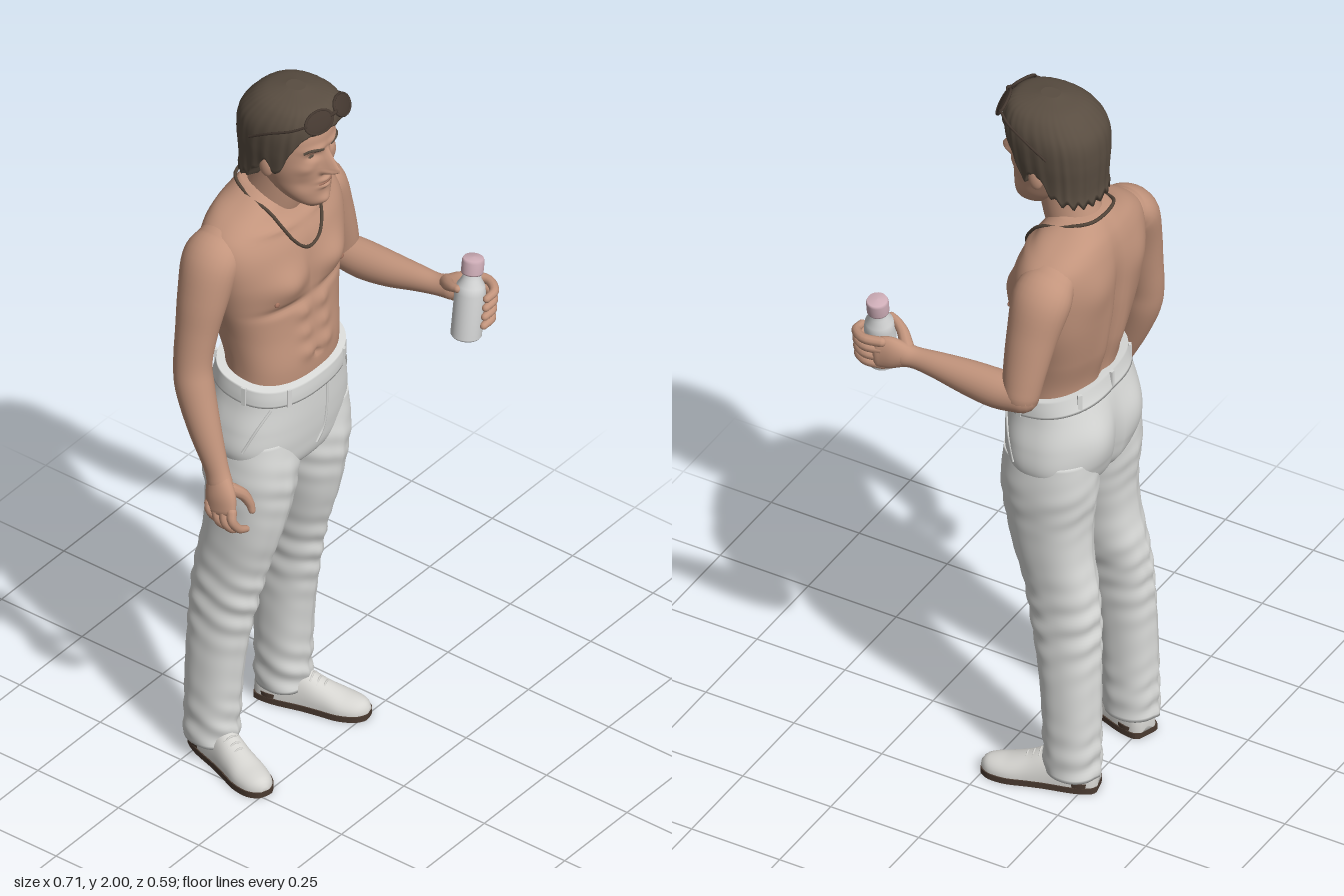
import * as THREE from 'three';

const mat = (name, color, side = THREE.FrontSide) => {
  const m = new THREE.MeshStandardMaterial({ color, side });
  m.name = name;
  return m;
};
const V = (x, y, z) => new THREE.Vector3(x, y, z);
const clamp = (v) => Math.min(1, Math.max(0, v));
const bump = (dx, sx, dy, sy) => Math.exp(-((dx / sx) ** 2) - (dy / sy) ** 2);
const spow = (v, e) => Math.sign(v) * Math.abs(v) ** e;

// Smooth lookup in a table whose first column is the key
function at(rows, k) {
  let i = 0;
  while (i < rows.length - 2 && k > rows[i + 1][0]) i++;
  const a = rows[i], b = rows[i + 1], p = rows[i - 1] || a, q = rows[i + 2] || b;
  const h = b[0] - a[0], u = (k - a[0]) / h, u2 = u * u, u3 = u2 * u;
  return a.map((v, c) => {
    const m0 = (b[c] - p[c]) / (b[0] - p[0]), m1 = (q[c] - a[c]) / (q[0] - a[0]);
    return (2 * u3 - 3 * u2 + 1) * v + (u3 - 2 * u2 + u) * h * m0 + (3 * u2 - 2 * u3) * b[c] + (u3 - u2) * h * m1;
  });
}

// Closed surface through rings of points
function skinRings(rings) {
  const n = rings[0].length, pts = rings.flat(), idx = [];
  for (let i = 0; i < rings.length - 1; i++)
    for (let j = 0; j < n; j++) {
      const a = i * n + j, b = i * n + ((j + 1) % n);
      idx.push(a, b, a + n, b, b + n, a + n);
    }
  [0, rings.length - 1].forEach((r) => {
    const c = pts.length;
    pts.push(rings[r].reduce((s, p) => s.add(p), V(0, 0, 0)).divideScalar(n));
    for (let j = 0; j < n; j++) {
      const a = r * n + j, b = r * n + ((j + 1) % n);
      if (r) idx.push(a, b, c); else idx.push(b, a, c);
    }
  });
  const g = new THREE.BufferGeometry().setFromPoints(pts);
  g.setIndex(idx);
  g.computeVertexNormals();
  return g;
}

// Horizontal sections: [y, centre x, half width, front z, back z]
function ringPoint(rows, y, t, pow, shape) {
  const [, cx, rx, zf, zb] = at(rows, y), e = 2 / pow;
  const v = V(cx + rx * spow(Math.sin(t), e), y, (zf + zb) / 2 + ((zf - zb) / 2) * spow(Math.cos(t), e));
  if (shape) shape(v, t);
  return v;
}
const angles = (n) => Array.from({ length: n }, (_, j) => (j <= n / 2 ? j : j - n) * (2 * Math.PI / n));
function stack(rows, n, m, pow, shape) {
  const y0 = rows[0][0], y1 = rows[rows.length - 1][0];
  return skinRings(Array.from({ length: m + 1 }, (_, i) =>
    angles(n).map((t) => ringPoint(rows, y0 + ((y1 - y0) * i) / m, t, pow, shape))));
}
function frontPoint(rows, x, y, pow, shape, lift = 0) {
  const [, cx, rx, zf, zb] = at(rows, y), u = Math.min(1, Math.abs(x - cx) / rx);
  const v = V(x, y, (zf + zb) / 2 + ((zf - zb) / 2) * (1 - u ** pow) ** (1 / pow));
  shape(v, 0);
  v.z += lift;
  return v;
}

// Round-ended limb through [x, y, z, radius a, radius b]
function limb(points, ref = V(1, 0, 0), n = 20, steps = 5) {
  const rows = points.map((p, i) => [i, p[0], p[1], p[2], p[3], p[4] ?? p[3]]), last = rows.length - 1, rings = [];
  const ring = (k, off, scale) => {
    const r = at(rows, k), A = at(rows, Math.max(0, k - 0.05)), B = at(rows, Math.min(last, k + 0.05));
    const T = V(B[1] - A[1], B[2] - A[2], B[3] - A[3]).normalize();
    const N = ref.clone().addScaledVector(T, -ref.dot(T)).normalize(), S = T.clone().cross(N);
    rings.push(angles(n).map((t) => V(r[1], r[2], r[3]).addScaledVector(T, off * r[4])
      .addScaledVector(N, Math.cos(t) * r[4] * scale).addScaledVector(S, Math.sin(t) * r[5] * scale)));
  };
  for (let j = 0; j < 4; j++) ring(0, -Math.cos(0.15 + j * 0.36), Math.sin(0.15 + j * 0.36));
  for (let i = 0; i <= last * steps; i++) ring(i / steps, 0, 1);
  for (let j = 3; j >= 0; j--) ring(last, Math.cos(0.15 + j * 0.36), Math.sin(0.15 + j * 0.36));
  return skinRings(rings);
}
const wire = (pts, r, closed = false) =>
  new THREE.TubeGeometry(new THREE.CatmullRomCurve3(pts, closed), pts.length * 8, r, 6, closed);

// Section tables
const TORSO = [[1.08, -0.005, 0.165, -0.025, -0.235], [1.2, -0.003, 0.167, -0.016, -0.235], [1.3, 0, 0.182, -0.028, -0.26],
  [1.4, 0, 0.207, -0.035, -0.278], [1.48, 0, 0.222, -0.034, -0.283], [1.55, 0, 0.226, -0.045, -0.284],
  [1.6, 0, 0.21, -0.066, -0.278], [1.635, 0, 0.165, -0.088, -0.268], [1.66, 0, 0.11, -0.1, -0.255], [1.69, 0, 0.065, -0.12, -0.235]];
const HEAD = [[1.672, 0, 0.028, -0.008, -0.06], [1.69, 0, 0.05, 0.003, -0.1], [1.72, 0, 0.07, 0.006, -0.14], [1.76, 0, 0.083, 0.007, -0.18],
  [1.8, 0, 0.093, 0.008, -0.2], [1.85, 0, 0.097, 0.01, -0.21], [1.9, 0, 0.094, 0.008, -0.21], [1.95, 0, 0.075, -0.015, -0.18], [1.975, 0, 0.04, -0.06, -0.14]];
const HAIR = [[1.72, 0, 0.108, -0.01, -0.236], [1.76, 0, 0.106, 0, -0.23], [1.8, 0, 0.108, 0.01, -0.232], [1.86, 0, 0.115, 0.022, -0.235],
  [1.92, 0, 0.115, 0.03, -0.228], [1.96, 0, 0.1, 0.026, -0.2], [1.985, 0, 0.072, 0.004, -0.165], [2, 0, 0.02, -0.06, -0.11]];
const HAIRLINE = [[0, 1.925], [0.7, 1.915], [1, 1.86], [1.25, 1.79], [1.5, 1.825], [1.8, 1.765], [2.2, 1.742], [3.15, 1.735]];
const PELVIS = [[0.87, -0.008, 0.08, -0.06, -0.2], [0.91, -0.01, 0.17, -0.025, -0.25], [0.97, -0.01, 0.207, -0.012, -0.268],
  [1.04, -0.008, 0.205, -0.006, -0.27], [1.11, -0.008, 0.19, -0.004, -0.262], [1.175, -0.008, 0.182, -0.004, -0.246]];
const BAND = [[1.128, -0.008, 0.189, 0.0, -0.26], [1.15, -0.008, 0.188, 0.001, -0.255], [1.178, -0.008, 0.185, 0, -0.25]];
const RIGHT_LEG = [[0.05, -0.17, 0.064, -0.148, -0.286], [0.3, -0.164, 0.064, -0.13, -0.284], [0.5, -0.149, 0.068, -0.096, -0.28], [0.6, -0.136, 0.076, -0.075, -0.27],
  [0.7, -0.129, 0.084, -0.046, -0.252], [0.8, -0.118, 0.097, -0.026, -0.25], [0.9, -0.113, 0.106, -0.016, -0.262], [1, -0.11, 0.1, -0.025, -0.26]];
const LEFT_LEG = [[0.05, 0.118, 0.068, -0.148, -0.286], [0.3, 0.112, 0.068, -0.13, -0.284], [0.5, 0.105, 0.066, -0.096, -0.28], [0.6, 0.101, 0.071, -0.075, -0.27],
  [0.7, 0.098, 0.082, -0.046, -0.252], [0.8, 0.095, 0.094, -0.026, -0.25], [0.9, 0.096, 0.103, -0.016, -0.262], [1, 0.097, 0.098, -0.025, -0.26]];
const SHOE = [[-0.148, 0.022, 0.05], [-0.135, 0.036, 0.075], [-0.09, 0.044, 0.088], [-0.02, 0.043, 0.085], [0.03, 0.045, 0.062],
  [0.08, 0.048, 0.044], [0.12, 0.04, 0.036], [0.14, 0.027, 0.029], [0.15, 0.012, 0.016]];

// Muscle relief
function muscles(v) {
  const x = Math.abs(v.x), y = v.y, f = clamp((v.z + 0.17) / 0.06), b = clamp((-0.17 - v.z) / 0.05);
  let d = 0.024 * bump(x - 0.09, 0.06, y - 1.455, 0.05) - 0.01 * bump(x - 0.09, 0.07, y - 1.385, 0.014);
  d += 0.006 * bump(y - 1.598 - 0.12 * x, 0.01, x - 0.09, 0.07) - 0.008 * bump(x, 0.012, y - 1.47, 0.06);
  for (const r of [1.35, 1.29, 1.235]) d += 0.009 * bump(x - 0.036, 0.024, y - r, 0.022);
  d -= 0.01 * bump(v.x, 0.008, y - 1.214, 0.009);
  const back = 0.018 * bump(x, 0.02, y - 1.38, 0.19) - 0.012 * bump(x - 0.1, 0.06, y - 1.51, 0.07) - 0.006 * bump(x - 0.045, 0.025, y - 1.28, 0.1);
  v.z += d * f + back * b;
}
function face(v) {
  const x = Math.abs(v.x), y = v.y, up = clamp((1.855 - y) / 0.055), fall = clamp((y - 1.771) / 0.02);
  let d = 0.043 * up * fall * fall * (3 - 2 * fall) * Math.exp(-((x / (0.008 + 0.006 * up)) ** 2));
  d += 0.012 * bump(x - 0.014, 0.007, y - 1.787, 0.008) - 0.012 * bump(x - 0.036, 0.018, y - 1.84, 0.012);
  d += 0.007 * bump(x - 0.033, 0.03, y - 1.862, 0.01) + 0.008 * bump(x, 0.022, y - 1.756, 0.007) + 0.009 * bump(x, 0.02, y - 1.738, 0.007);
  d += 0.009 * bump(x, 0.022, y - 1.692, 0.015) + 0.006 * bump(x - 0.062, 0.02, y - 1.805, 0.016) - 0.005 * bump(x - 0.058, 0.02, y - 1.755, 0.02);
  v.z += d * clamp((v.z + 0.07) / 0.05);
}
// Trouser tailoring: waist tilt, seat and pressed creases
function seat(v) {
  const x = Math.abs(v.x + 0.008);
  if (v.z < -0.15) v.z += -0.02 * bump(x - 0.09, 0.07, v.y - 1.03, 0.07) + 0.012 * bump(x, 0.016, v.y - 0.97, 0.1);
  v.y += (-0.1 - v.z) * 0.15 * clamp((v.y - 0.98) / 0.15);
}
function creases(v, t) {
  const low = clamp((0.95 - v.y) / 0.1), back = Math.PI - Math.abs(t);
  v.z += low * 0.007 * (Math.exp(-((t / 0.13) ** 2)) - Math.exp(-((back / 0.13) ** 2)));
  const fold = bump(0, 1, v.y - 0.5, 0.12) + bump(0, 1, v.y - 0.1, 0.1) + 0.5 * bump(0, 1, v.y - 0.85, 0.08);
  v.z += 0.0035 * fold * Math.sin(v.y * 95 + v.x * 40);
  v.x += 0.002 * fold * Math.sin(v.y * 80 + v.z * 35);
}

export function createModel() {
  const root = new THREE.Group();
  const skin = mat('skin', 0xc2947c), shade = mat('lip and nipple', 0xa4735f), hair = mat('hair', 0x594d41, THREE.DoubleSide);
  const cloth = mat('trouser cloth', 0xdadbd9), leather = mat('shoe leather', 0xd6d5d1), sole = mat('sole', 0x4b3b31);
  const glass = mat('sunglasses', 0x443830), chain = mat('necklace', 0x54463a), bottleMat = mat('bottle', 0xd3d4d4), pink = mat('cap', 0xcfaeb8);
  const add = (name, geo, m, parent = root) => {
    const mesh = new THREE.Mesh(geo, m);
    mesh.name = name;
    parent.add(mesh);
    return mesh;
  };
  const ball = (name, p, s, m) => {
    const b = add(name, new THREE.SphereGeometry(1, 20, 14), m);
    b.position.copy(p);
    b.scale.set(...s);
    return b;
  };

  // Torso, neck, head
  add('torso', stack(TORSO, 96, 90, 2.35, muscles), skin);
  add('neck', limb([[0, 1.58, -0.185, 0.08, 0.078], [0, 1.65, -0.155, 0.07, 0.076], [0, 1.72, -0.135, 0.066, 0.074], [0, 1.8, -0.12, 0.066, 0.07]], V(1, 0, 0), 32), skin);
  add('head', stack(HEAD, 112, 100, 2.15, face), skin);
  const facePt = (x, y, l) => frontPoint(HEAD, x, y, 2.15, face, l);
  add('mouth', wire([-0.024, -0.012, 0, 0.012, 0.024].map((x) => facePt(x, 1.747, 0)), 0.003), shade);
  for (const s of [-1, 1]) {
    ball('eye', facePt(s * 0.036, 1.838, 0), [0.013, 0.0045, 0.003], hair);
    add('eyebrow', wire([[0.015, 1.856], [0.035, 1.863], [0.052, 1.864], [0.064, 1.857]].map(([x, y]) => facePt(s * x, y, 0)), 0.0038), hair);
    ball('ear', V(s * 0.1, 1.805, -0.1), [0.012, 0.032, 0.02], skin);
    ball('nipple', frontPoint(TORSO, s * 0.128, 1.418, 2.35, muscles), [0.009, 0.008, 0.005], shade);
  }

  // Hair with a ragged lower edge
  const hairRings = [];
  for (let i = -1; i <= 40; i++) {
    const s = 1 - (1 - Math.max(i, 0) / 40) ** 2;
    hairRings.push(angles(144).map((t) => {
      const low = at(HAIRLINE, Math.abs(t))[1] + 0.009 * Math.sin(t * 24) * clamp(Math.abs(t) - 0.6);
      const p = ringPoint(HAIR, low + (2 - low) * s, t, 2.3);
      const k = i < 0 ? 0.75 : 1 + 0.012 * Math.sin(t * 24) * (1 - s) + 0.004 * Math.sin(t * 36);
      return V(p.x * k, p.y, -0.1 + (p.z + 0.1) * k);
    }));
  }
  add('hair', skinRings(hairRings), hair);

  // Sunglasses pushed up on the hair
  const glasses = new THREE.Group();
  glasses.name = 'sunglasses';
  root.add(glasses);
  for (const s of [-1, 1]) {
    const rim = add('rim', new THREE.TorusGeometry(0.036, 0.004, 8, 32), glass, glasses);
    const lens = add('lens', new THREE.SphereGeometry(0.036, 24, 12), glass, glasses);
    rim.scale.set(1.1, 0.75, 1);
    lens.scale.set(1.1, 0.75, 0.16);
    for (const m of [rim, lens]) {
      m.position.set(s * 0.046, 1.961, 0.022);
      m.rotation.set(-0.6, s * 0.3, 0);
    }
    add('temple arm', wire([V(s * 0.082, 1.962, 0.012), V(s * 0.1, 1.945, -0.02), V(s * 0.116, 1.92, -0.08), V(s * 0.118, 1.885, -0.14)], 0.0035), glass, glasses);
  }
  add('bridge', wire([V(-0.014, 1.965, 0.03), V(0, 1.97, 0.036), V(0.014, 1.965, 0.03)], 0.005), glass, glasses);

  // Necklace
  const half = [[0.03, 1.543], [0.056, 1.572], [0.076, 1.615], [0.084, 1.648]].map(([x, y]) => frontPoint(TORSO, x, y, 2.35, muscles, 0.006));
  half.push(V(0.082, 1.675, -0.18), V(0.05, 1.69, -0.235));
  const mirrored = half.map((p) => V(-p.x, p.y, p.z)).reverse();
  add('necklace', wire([frontPoint(TORSO, 0, 1.53, 2.35, muscles, 0.006), ...half, ...mirrored], 0.0045, true), chain);

  // Hanging right arm and hand
  add('rightArm', limb([[-0.17, 1.575, -0.185, 0.05, 0.065], [-0.212, 1.54, -0.185, 0.062, 0.077], [-0.245, 1.45, -0.185, 0.057, 0.067],
    [-0.265, 1.36, -0.188, 0.05, 0.056], [-0.281, 1.27, -0.188, 0.046, 0.05], [-0.289, 1.2, -0.175, 0.048, 0.05],
    [-0.297, 1.1, -0.14, 0.04, 0.043], [-0.302, 1.0, -0.1, 0.028, 0.033], [-0.306, 0.96, -0.085, 0.027, 0.036]], V(1, 0, 0), 28), skin);
  add('rightPalm', limb([[-0.304, 0.975, -0.09, 0.024, 0.033], [-0.316, 0.935, -0.075, 0.025, 0.045], [-0.325, 0.9, -0.066, 0.019, 0.045]]), skin);
  for (let i = 0; i < 4; i++) {
    const z = -0.1 + i * 0.023, drop = [0.012, 0, -0.002, 0.008][i];
    add('rightFinger', limb([[-0.328, 0.905, z, 0.013], [-0.334, 0.875 + drop, z + 0.006, 0.012], [-0.316, 0.846 + drop, z + 0.012, 0.011],
      [-0.288, 0.83 + drop, z + 0.014, 0.009]], V(0, 0, 1), 10, 4), skin);
  }
  add('rightThumb', limb([[-0.3, 0.95, -0.06, 0.018], [-0.272, 0.925, -0.042, 0.015], [-0.258, 0.895, -0.03, 0.012], [-0.256, 0.873, -0.024, 0.009]], V(0, 0, 1), 10, 4), skin);

  // Bent left arm and gripping hand
  add('leftUpperArm', limb([[0.17, 1.575, -0.185, 0.05, 0.065], [0.212, 1.54, -0.183, 0.062, 0.077], [0.245, 1.45, -0.175, 0.056, 0.066],
    [0.272, 1.36, -0.17, 0.049, 0.056], [0.287, 1.295, -0.168, 0.046, 0.048]], V(1, 0, 0), 28), skin);
  add('leftForearm', limb([[0.288, 1.288, -0.17, 0.044, 0.046], [0.291, 1.285, -0.1, 0.048, 0.05], [0.293, 1.29, -0.02, 0.043, 0.045],
    [0.298, 1.298, 0.06, 0.033, 0.035], [0.303, 1.302, 0.12, 0.026, 0.029], [0.31, 1.306, 0.155, 0.027, 0.034]], V(1, 0, 0), 28), skin);
  add('leftPalm', limb([[0.308, 1.305, 0.145, 0.025, 0.032], [0.322, 1.308, 0.18, 0.024, 0.046], [0.335, 1.308, 0.21, 0.016, 0.046]]), skin);
  for (let i = 0; i < 4; i++) {
    const y = 1.27 + i * 0.025, dx = (i - 1.5) * 0.004;
    add('leftFinger', limb([[0.334 + dx, y, 0.2, 0.013], [0.342 + dx, y, 0.245, 0.0125], [0.318 + dx, y - 0.003, 0.28, 0.012], [0.284 + dx, y - 0.006, 0.283, 0.01]], V(0, 1, 0), 10, 4), skin);
  }
  add('leftThumb', limb([[0.3, 1.325, 0.15, 0.018], [0.275, 1.342, 0.175, 0.015], [0.26, 1.355, 0.2, 0.012], [0.254, 1.362, 0.22, 0.01]], V(0, 1, 0), 10, 4), skin);

  // Bottle
  const bottle = new THREE.Group();
  bottle.name = 'bottle';
  bottle.position.set(0.262, 1.222, 0.24);
  bottle.rotation.set(-0.03, 0, -0.18);
  root.add(bottle);
  const lathe = (p) => new THREE.LatheGeometry(p.map(([x, y]) => new THREE.Vector2(x, y)), 32);
  add('bottleBody', lathe([[0, 0], [0.034, 0], [0.039, 0.006], [0.039, 0.125], [0.035, 0.145], [0.024, 0.163], [0.022, 0.182]]), bottleMat, bottle);
  add('bottleCap', lathe([[0, 0.178], [0.027, 0.178], [0.028, 0.182], [0.028, 0.212], [0.025, 0.219], [0, 0.221]]), pink, bottle);

  // Trousers
  add('trouserSeat', stack(PELVIS, 80, 50, 2.4, seat), cloth);
  add('waistband', stack(BAND, 80, 8, 2.4, seat), cloth);
  add('rightTrouserLeg', stack(RIGHT_LEG, 64, 110, 2.25, creases), cloth);
  add('leftTrouserLeg', stack(LEFT_LEG, 64, 110, 2.25, creases), cloth);
  for (const t of [-2.5, -1.4, -0.55, 0.55, 1.4, 2.5, Math.PI]) {
    const loop = add('beltLoop', new THREE.BoxGeometry(0.012, 0.052, 0.008), cloth);
    loop.position.copy(ringPoint(BAND, 1.152, t, 2.4, seat));
    loop.rotation.y = t;
  }
  for (const s of [-1, 1])
    add('pocketEdge', wire([[1.12, 0.85], [1.06, 1.05], [0.99, 1.25]].map(([y, t]) => ringPoint(PELVIS, y, s * t, 2.4, seat)), 0.004), cloth);
  add('fly', wire([[0.02, 1.13], [0.02, 1.02], [0.012, 0.97], [-0.008, 0.94]].map(([x, y]) => frontPoint(PELVIS, x, y, 2.4, seat)), 0.004), cloth);

  // Shoes
  for (const [name, x, yaw] of [['rightShoe', -0.193, -0.33], ['leftShoe', 0.135, 0.27]]) {
    const shoe = new THREE.Group();
    shoe.name = name;
    shoe.position.set(x, 0, -0.136);
    shoe.rotation.y = yaw;
    root.add(shoe);
    const rings = Array.from({ length: 41 }, (_, i) => {
      const [z, w, h] = at(SHOE, -0.148 + (0.298 * i) / 40);
      return angles(32).map((t) => V(w * Math.cos(t), 0.012 + h * Math.max(0, Math.sin(t)) ** 0.85, z));
    });
    add('shoeUpper', skinRings(rings), leather, shoe);
    const side = SHOE.map(([z, w]) => new THREE.Vector2(w + 0.003, z));
    const outline = new THREE.Shape().setFromPoints(new THREE.SplineCurve([...side, ...side.map((p) => new THREE.Vector2(-p.x, p.y)).reverse(), side[0]]).getPoints(72).slice(0, -1));
    const soleGeo = new THREE.ExtrudeGeometry(outline, { depth: 0.016, bevelEnabled: false });
    soleGeo.rotateX(Math.PI / 2).translate(0, 0.016, 0);
    add('sole', soleGeo, sole, shoe);
    const heel = add('heel', new THREE.CylinderGeometry(0.046, 0.045, 0.028, 28), sole, shoe);
    heel.position.set(0, 0.014, -0.1);
    for (let i = 0; i < 3; i++) {
      const z = 0.0 + i * 0.017, h = 0.012 + at(SHOE, z)[2];
      add('lace', wire([V(-0.022, h - 0.011, z), V(0, h, z), V(0.022, h - 0.011, z)], 0.003), leather, shoe);
    }
  }
  return root;
}
